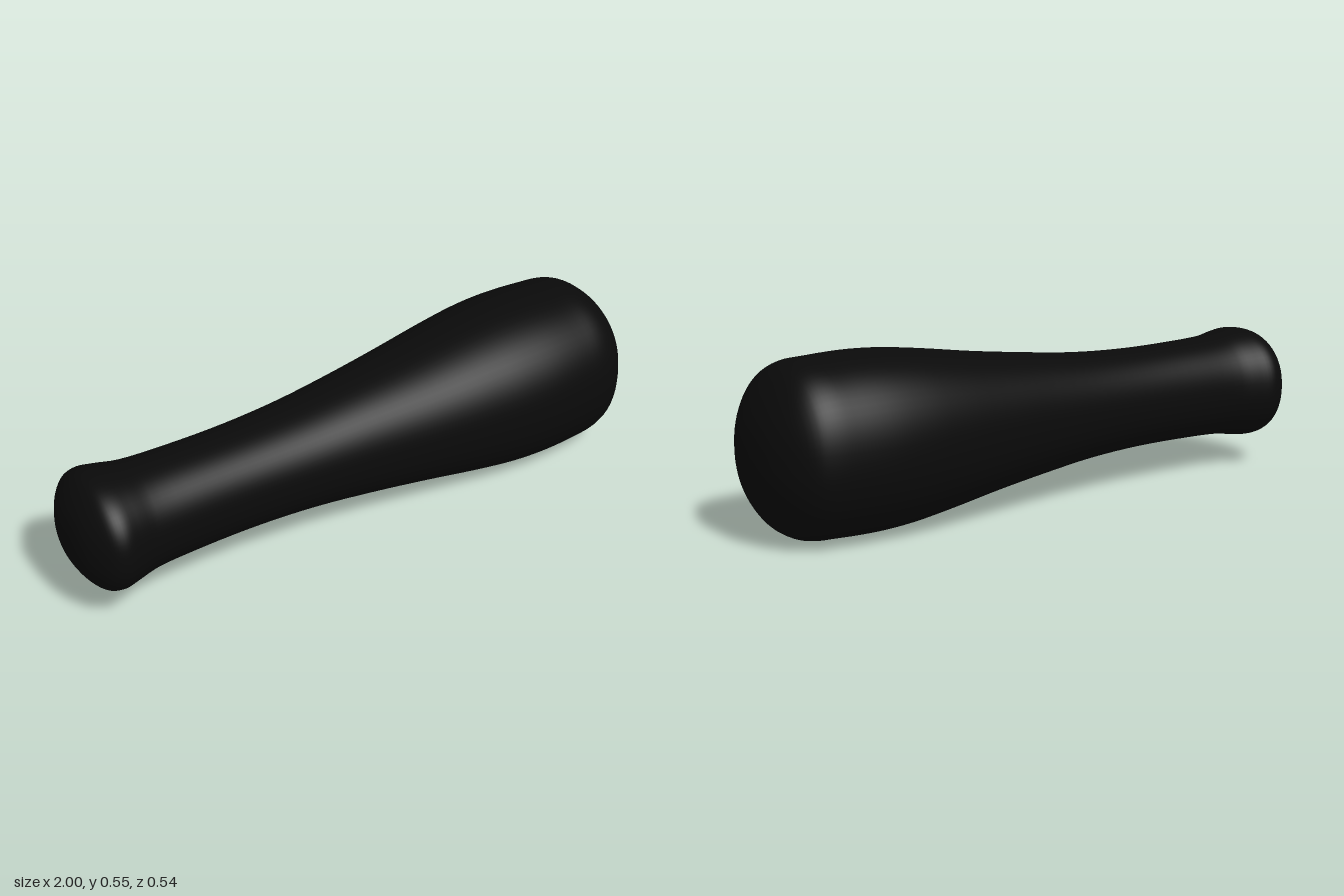
import * as THREE from 'three';

// Stations along the grip: x, half height, half depth
const STATIONS = [
  [-1, 0, 0], [-0.997, 0.05, 0.06], [-0.985, 0.1, 0.11], [-0.955, 0.15, 0.163], [-0.925, 0.176, 0.19],
  [-0.89, 0.183, 0.198], [-0.84, 0.179, 0.184], [-0.77, 0.168, 0.166], [-0.6, 0.162, 0.157],
  [-0.4, 0.162, 0.159], [-0.2, 0.172, 0.172], [0, 0.194, 0.194], [0.2, 0.22, 0.223],
  [0.4, 0.251, 0.252], [0.53, 0.267, 0.266], [0.65, 0.273, 0.27], [0.77, 0.27, 0.262],
  [0.85, 0.265, 0.25], [0.9, 0.243, 0.231], [0.95, 0.185, 0.18], [0.985, 0.11, 0.11],
  [0.997, 0.05, 0.05], [1, 0, 0],
];
const CENTER_Y = 0.274;
const SIDES = 64;
const STEPS = 4; // rings per station
const SQUARENESS = 2.2; // superellipse exponent of the cross-section

// Skin the rounded-square cross-sections into one closed smooth surface
function loftGeometry() {
  const curve = new THREE.CatmullRomCurve3(STATIONS.map(s => new THREE.Vector3(...s)));
  const rings = curve.getPoints((STATIONS.length - 1) * STEPS);
  const bulge = t => Math.sign(t) * Math.pow(Math.abs(t), 2 / SQUARENESS);
  const positions = [];
  const indices = [];
  rings.forEach((ring, i) => {
    for (let j = 0; j < SIDES; j++) {
      const a = (j / SIDES) * Math.PI * 2;
      positions.push(ring.x, CENTER_Y + ring.y * bulge(Math.cos(a)), ring.z * bulge(Math.sin(a)));
      if (i === rings.length - 1) continue;
      const p = i * SIDES + j;
      const q = i * SIDES + ((j + 1) % SIDES);
      if (i > 0) indices.push(p, q, p + SIDES);
      if (i < rings.length - 2) indices.push(q, q + SIDES, p + SIDES);
    }
  });
  const geometry = new THREE.BufferGeometry();
  geometry.setAttribute('position', new THREE.Float32BufferAttribute(positions, 3));
  geometry.setIndex(indices);
  geometry.computeVertexNormals();
  return geometry;
}

export function createModel() {
  const model = new THREE.Group();
  model.name = 'handle';
  // Black grip, flared at the narrow end and swelling toward the wide end
  const grip = new THREE.Mesh(loftGeometry(), new THREE.MeshStandardMaterial({ color: 0x0a0a0a }));
  grip.name = 'grip';
  model.add(grip);
  return model;
}
